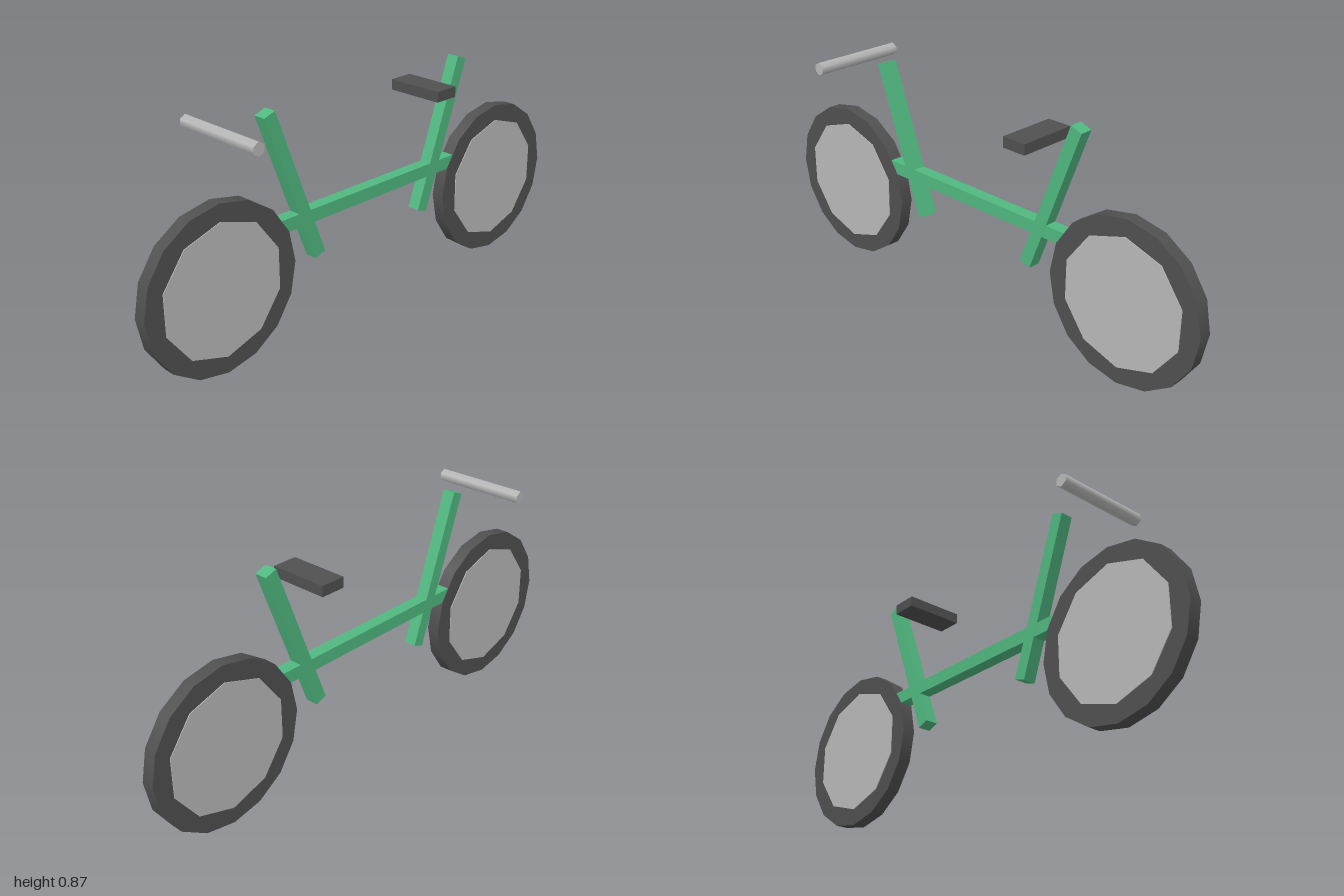
import * as THREE from 'three';

const frameGreen = new THREE.MeshStandardMaterial({ color: 0x50b880 });
frameGreen.name = 'frame green';
const rubberGrey = new THREE.MeshStandardMaterial({ color: 0x505050 });
rubberGrey.name = 'rubber grey';
const silver = new THREE.MeshStandardMaterial({ color: 0xb9b9b9 });
silver.name = 'silver';

export function createModel() {
  const bike = new THREE.Group();
  bike.name = 'bicycle';

  function add(name, geometry, material, x, y, z, parent = bike) {
    const mesh = new THREE.Mesh(geometry, material);
    mesh.name = name;
    mesh.position.set(x, y, z);
    parent.add(mesh);
    return mesh;
  }

  // Cylinder lying along x, with one corner pointing straight up
  function axle(radius, width, sides) {
    return new THREE.CylinderGeometry(radius, radius, width, sides)
      .rotateY(Math.PI / 2)
      .rotateZ(Math.PI / 2);
  }

  for (const [end, side] of [['front', 1], ['rear', -1]]) {
    // Wheel: faceted tyre with a slightly wider hub disc
    const wheel = new THREE.Group();
    wheel.name = `${end}Wheel`;
    wheel.position.set(0, 0.31, side * 0.692);
    bike.add(wheel);
    add(`${end}Tyre`, axle(0.309, 0.05, 16), rubberGrey, 0, 0, 0, wheel);
    const disc = axle(0.246, 0.056, 10);
    disc.rotateX(Math.PI / 2);
    disc.rotateX(-Math.PI / 2);
    add(`${end}WheelDisc`, disc, silver, 0, 0, 0, wheel);

    // Post leaning outwards from the frame
    const post = add(`${end}Post`, new THREE.BoxGeometry(0.049, 0.602, 0.048), frameGreen, 0, 0.576, side * 0.369);
    post.rotation.x = side * 0.352;
  }

  // Frame bar, handlebar and seat
  add('frameBar', new THREE.BoxGeometry(0.048, 0.049, 0.9), frameGreen, 0, 0.451, 0);
  add('handlebar', axle(0.0245, 0.366, 6), silver, 0, 0.831, 0.65);
  add('seat', new THREE.BoxGeometry(0.227, 0.04, 0.097), rubberGrey, 0, 0.774, -0.286);

  return bike;
}
